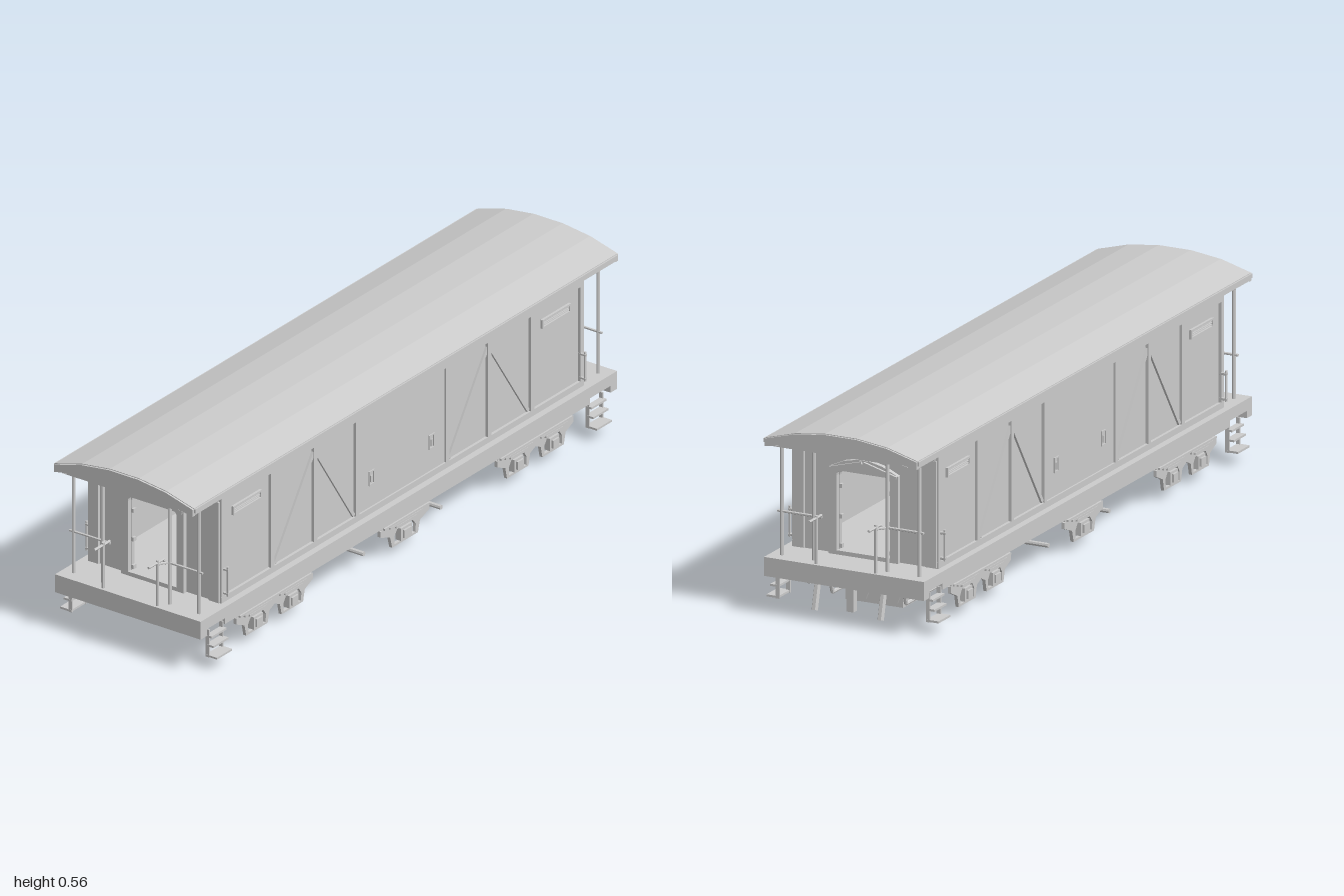
import * as THREE from 'three';

const mat = new THREE.MeshStandardMaterial({ color: 0xcccccc, flatShading: true, side: THREE.DoubleSide });

function add(parent, name, geo, x = 0, y = 0, z = 0) {
  const m = new THREE.Mesh(geo, mat);
  m.name = name;
  m.position.set(x, y, z);
  parent.add(m);
  return m;
}
const box = (p, name, w, h, d, x, y, z) => add(p, name, new THREE.BoxGeometry(w, h, d), x, y, z);

// Round bar between two points
function rod(p, name, a, b, r, sides = 8) {
  const A = new THREE.Vector3(...a), B = new THREE.Vector3(...b), d = B.clone().sub(A);
  const m = add(p, name, new THREE.CylinderGeometry(r, r, d.length(), sides));
  m.position.copy(A).add(B).multiplyScalar(0.5);
  m.quaternion.setFromUnitVectors(new THREE.Vector3(0, 1, 0), d.normalize());
  return m;
}
const shapeOf = pts => new THREE.Shape(pts.map(q => new THREE.Vector2(...q)));
const mirrored = half => [...half, ...half.slice().reverse().map(([x, y]) => [-x, y])];
const extrude = (shape, depth) => new THREE.ExtrudeGeometry(shape, { depth, bevelEnabled: false, curveSegments: 4 });

// Cross-section in (z, y) extruded along x, centred on x
function section(p, name, shape, length, x) {
  const g = extrude(shape, length).translate(0, 0, -length / 2).rotateY(Math.PI / 2);
  return add(p, name, g, x, 0, 0);
}

// Round-cornered doorway outline
function doorway(hw, y0, y1, r) {
  const h = new THREE.Path();
  h.moveTo(-hw, y0).lineTo(hw, y0).lineTo(hw, y1 - r).quadraticCurveTo(hw, y1, hw - r, y1);
  h.lineTo(-hw + r, y1).quadraticCurveTo(-hw, y1, -hw, y1 - r).lineTo(-hw, y0);
  return h;
}

function buildRoof(g) {
  const outer = [[0.238, 0.498], [0.238, 0.52], [0.144, 0.546], [0.05, 0.558]];
  const inner = [[-0.05, 0.533], [-0.115, 0.524], [-0.21, 0.502]];
  const pts = [...mirrored(outer), ...inner, ...inner.slice().reverse().map(([x, y]) => [-x, y])];
  section(g, 'roof', shapeOf(pts), 1.97, 0);
  for (const s of [-1, 1]) {
    section(g, 'roofEndTrim', shapeOf(pts.map(([z, y]) => [z, y - 0.002])), 0.012, s * 0.985);
    box(g, 'roofEdgeTrim', 1.97, 0.012, 0.008, 0, 0.512, s * 0.239);
  }
}

function buildSides(g) {
  for (const s of [-1, 1]) {
    const z = s * 0.222;
    box(g, 'sideWall', 1.68, 0.335, 0.014, 0, 0.335, s * 0.213);
    box(g, 'topRail', 1.69, 0.022, 0.014, 0, 0.488, z);
    box(g, 'bottomRail', 1.69, 0.018, 0.014, 0, 0.177, z);
    for (const e of [-1, 1]) {
      for (const x of [0.836, 0.605, 0.405, 0.21]) box(g, 'sidePost', 0.016, 0.32, 0.014, e * x, 0.335, z);
      // Diagonal braces meeting at the middle post
      for (const x of [0.59, 0.222]) {
        const dx = e * (x - 0.405), dy = -0.275;
        const b = box(g, 'diagonalBrace', Math.hypot(dx, dy), 0.011, 0.009, e * (x + 0.405) / 2, 0.328, z);
        b.rotation.z = Math.atan2(dy, dx);
      }
      // Louvred vent
      const vx = e * 0.72;
      for (const y of [0.419, 0.441]) box(g, 'ventFrame', 0.132, 0.005, 0.012, vx, y, z);
      for (const k of [-1, 1]) box(g, 'ventFrame', 0.005, 0.026, 0.012, vx + k * 0.064, 0.43, z);
      for (const y of [0.425, 0.43, 0.435]) box(g, 'ventSlat', 0.126, 0.002, 0.007, vx, y, z);
      // Sliding door pull
      for (const k of [-1, 1]) box(g, 'doorPull', 0.003, 0.042, 0.01, e * 0.14 + k * 0.011, 0.275, z);
      for (const k of [-1, 1]) box(g, 'doorPull', 0.025, 0.004, 0.01, e * 0.14, 0.275 + k * 0.02, z);
      box(g, 'doorLatch', 0.008, 0.02, 0.01, e * 0.14, 0.272, z);
      // Grab rail beside the platform
      rod(g, 'grabRail', [e * 0.832, 0.19, s * 0.242], [e * 0.832, 0.28, s * 0.242], 0.004, 6);
      for (const y of [0.197, 0.27]) rod(g, 'grabRailBracket', [e * 0.832, y, s * 0.22], [e * 0.832, y, s * 0.246], 0.005, 6);
    }
    box(g, 'slidingDoor', 0.41, 0.302, 0.005, 0, 0.334, s * 0.221);
  }
}

function buildEnds(g) {
  const wall = mirrored([[0.22, 0.168], [0.22, 0.505], [0.115, 0.526], [0.05, 0.536]]);
  const frame = mirrored([[0.108, 0.168], [0.108, 0.42], [0.06, 0.442], [0.02, 0.451]]);
  for (const e of [-1, 1]) {
    const w = shapeOf(wall), f = shapeOf(frame);
    w.holes.push(doorway(0.081, 0.18, 0.41, 0.015));
    f.holes.push(doorway(0.084, 0.18, 0.412, 0.015));
    section(g, 'endWall', w, 0.014, e * 0.835);
    section(g, 'doorFrame', f, 0.016, e * 0.848);
    box(g, 'endTopRail', 0.012, 0.022, 0.44, e * 0.844, 0.486, 0);
    for (const s of [-1, 1]) {
      box(g, 'cornerPost', 0.014, 0.31, 0.034, e * 0.844, 0.325, s * 0.207);
      for (const y of [0.19, 0.275, 0.363]) box(g, 'doorHinge', 0.012, 0.012, 0.008, e * 0.836, y, s * 0.078);
      // Arched strip over the doorway
      const b = box(g, 'doorArch', 0.01, 0.008, 0.106, e * 0.858, 0.431, s * 0.054);
      b.rotation.x = s * 0.27;
    }
  }
}

function buildPlatforms(g) {
  for (const e of [-1, 1]) for (const s of [-1, 1]) {
    const x = e * 0.93;
    for (const z of [0.215, 0.115]) {
      rod(g, 'platformPost', [x, 0.165, s * z], [x, z > 0.2 ? 0.505 : 0.527, s * z], 0.0055);
      add(g, 'postCap', new THREE.CylinderGeometry(0.011, 0.005, 0.02, 8), x, z > 0.2 ? 0.492 : 0.515, s * z);
    }
    rod(g, 'platformRail', [x, 0.295, s * 0.09], [x, 0.295, s * 0.228], 0.004, 6);
    rod(g, 'gatePost', [e * 0.958, 0.165, s * 0.093], [e * 0.958, 0.308, s * 0.093], 0.005, 6);
    rod(g, 'gateHook', [e * 0.928, 0.3, s * 0.093], [e, 0.3, s * 0.093], 0.004, 6);
    rod(g, 'gateRail', [x, 0.295, s * 0.112], [e * 0.958, 0.295, s * 0.093], 0.004, 6);
    // Ladder step
    for (const k of [-1, 1]) box(g, 'stepHanger', 0.005, 0.085, 0.012, e * 0.885 + k * 0.032, 0.078, s * 0.235);
    for (const [y, d] of [[0.04, 0.038], [0.072, 0.026], [0.1, 0.02]])
      box(g, 'stepTread', 0.07, 0.006, d, e * 0.885, y, s * (0.231 + d / 2));
  }
}

// Axle guard: flared horn plate with arch opening, springs and axle box
function axleGuard(g, x, z, w) {
  const shape = shapeOf(mirrored([[w * 0.5, 0.03], [w * 0.58, 0.065], [w * 0.95, 0.082], [w * 0.95, 0.1], [w * 0.7, 0.1], [w * 0.55, 0.12]]));
  const hole = mirrored([[w * 0.4, 0.036], [w * 0.42, 0.06], [w * 0.3, 0.078]]);
  shape.holes.push(new THREE.Path(hole.map(q => new THREE.Vector2(...q))));
  add(g, 'axleGuard', extrude(shape, 0.01).translate(0, 0, -0.005), x, 0, z);
  const s = Math.sign(z);
  box(g, 'axleBox', w * 0.42, 0.038, 0.02, x, 0.057, z);
  box(g, 'axleBoxLid', w * 0.28, 0.024, 0.008, x, 0.057, z + s * 0.012);
  for (let i = 0; i < 3; i++) box(g, 'springLeaf', w * (1.7 - i * 0.45), 0.006, 0.014, x, 0.103 - i * 0.007, z + s * 0.004);
  for (const k of [-1, 1]) rod(g, 'springHanger', [x + k * w * 0.85, 0.125, z], [x + k * w * 0.85, 0.09, z], 0.005, 6);
}

function buildUnderframe(g) {
  box(g, 'floor', 1.94, 0.034, 0.5, 0, 0.151, 0);
  for (const e of [-1, 1]) box(g, 'endBeam', 0.03, 0.055, 0.5, e * 0.955, 0.1405, 0);
  for (const s of [-1, 1]) {
    box(g, 'sideSill', 1.7, 0.024, 0.018, 0, 0.124, s * 0.236);
    for (const [x, w] of [[-0.69, 0.1], [-0.525, 0.1], [0, 0.12], [0.525, 0.1], [0.69, 0.1]]) axleGuard(g, x, s * 0.232, w);
    // Truss rod with queen posts
    const p = [[-0.85, 0.135], [-0.82, 0.045], [0.82, 0.045], [0.85, 0.135]];
    for (let i = 0; i < 3; i++) rod(g, 'trussRod', [...p[i], s * 0.115], [...p[i + 1], s * 0.115], 0.006);
    for (const x of [-0.175, 0.185]) rod(g, 'queenPost', [x, 0.03, s * 0.115], [x, 0.136, s * 0.115], 0.006);
    // Slanted guard iron at the left end
    rod(g, 'guardIron', [0.925, 0.125, s * 0.103], [0.948, 0.03, s * 0.103], 0.01, 6);
  }
  for (const x of [-0.175, 0.185]) rod(g, 'crossBar', [x, 0.053, -0.225], [x, 0.053, 0.225], 0.007);
  // Equipment boxes with octagonal end plates
  for (const x of [-0.69, 0, 0.69]) {
    box(g, 'equipmentBox', 0.2, 0.08, 0.18, x, 0.06, 0);
    for (const e of [-1, 1]) {
      for (const s of [-1, 1]) {
        const c = add(g, 'octagonalPlate', new THREE.CylinderGeometry(0.036, 0.036, 0.008, 8), x + e * 0.102, 0.057, s * 0.049);
        c.rotation.z = Math.PI / 2;
      }
      box(g, 'boxHanger', 0.012, 0.04, 0.16, x + e * 0.08, 0.117, 0);
    }
  }
  add(g, 'drainPlug', new THREE.CylinderGeometry(0.011, 0.011, 0.022, 8), 0.69, 0.011, 0);
  box(g, 'couplerStem', 0.02, 0.08, 0.022, 0.925, 0.075, 0);
}

export function createModel() {
  const root = new THREE.Group();
  root.name = 'railwayVan';
  const parts = { roofAssembly: buildRoof, bodySides: buildSides, bodyEnds: buildEnds, platforms: buildPlatforms, underframe: buildUnderframe };
  for (const [name, build] of Object.entries(parts)) {
    const g = new THREE.Group();
    g.name = name;
    build(g);
    root.add(g);
  }
  return root;
}
